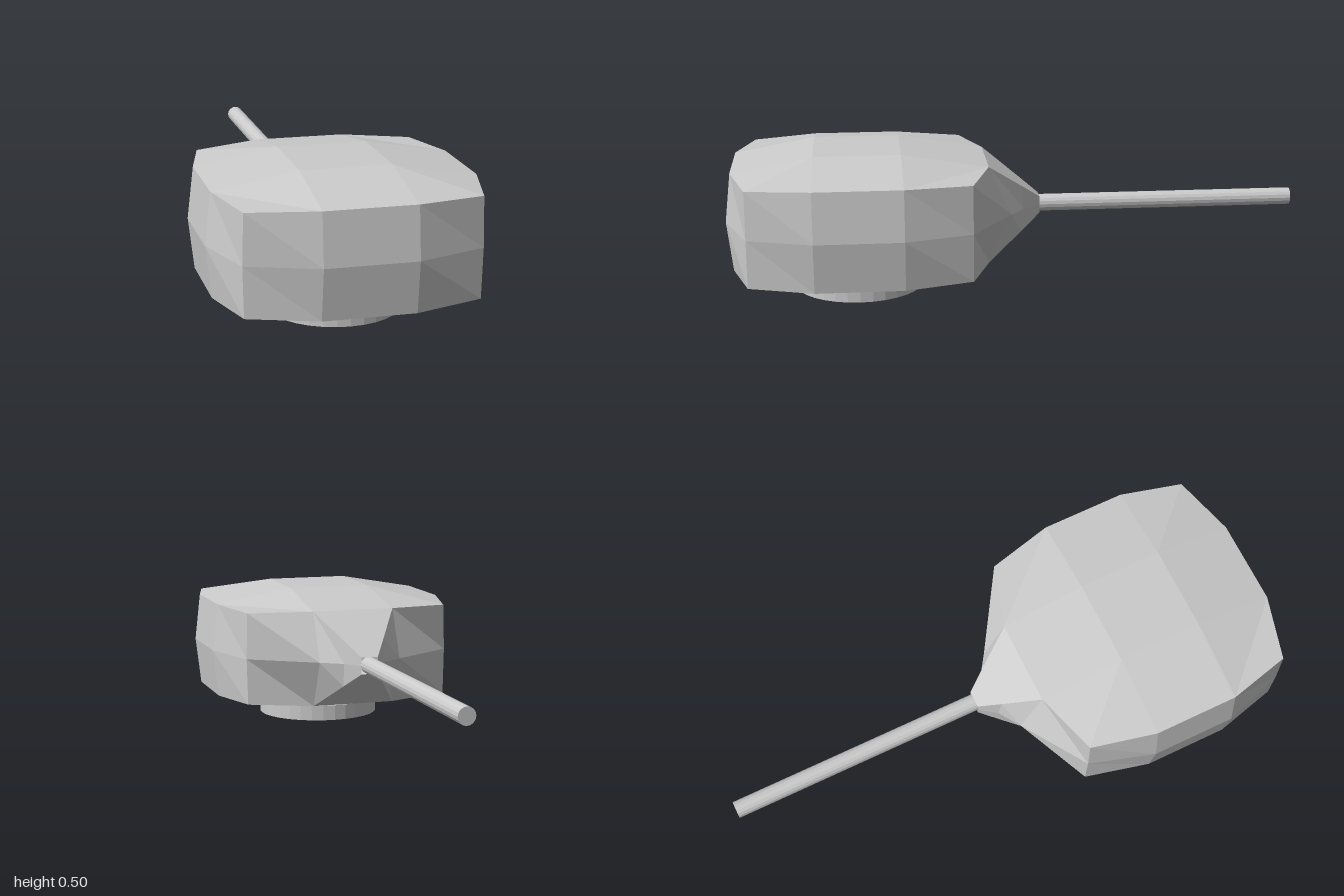
import * as THREE from 'three';

const MID = 0.278; // height of the body's symmetry plane

// Quads over a grid of points; the normal is (column direction) x (row direction)
function patch(rows, out) {
  for (let i = 0; i < rows.length - 1; i++) {
    for (let j = 0; j < rows[i].length - 1; j++) {
      const a = rows[i][j], b = rows[i][j + 1], c = rows[i + 1][j + 1], d = rows[i + 1][j];
      out.push(...a, ...b, ...c, ...a, ...c, ...d);
    }
  }
}

function faceted(positions) {
  const geo = new THREE.BufferGeometry();
  geo.setAttribute('position', new THREE.Float32BufferAttribute(positions, 3));
  geo.computeVertexNormals();
  return geo;
}

// Rounded block: domed top and bottom, bulging walls, open at the back for the neck
function bodyGeometry() {
  const out = [];
  const mirrored = (half) => [...half, ...half.map(([x, z]) => [-x, z]).reverse()];
  const rim = mirrored([[0.15, 0.1], [0.375, 0.17], [0.43, 0.4], [0.43, 0.7], [0.375, 0.92], [0.15, 0.98]]);
  const belt = mirrored([[0.15, 0.02], [0.379, 0.17], [0.45, 0.4], [0.45, 0.7], [0.379, 0.92], [0.15, 1.0]]);
  const rimHeight = ([x]) => (Math.abs(x) === 0.375 ? 0.166 : 0.172);
  patch(rim.map((p, i) => [
    [p[0], MID - rimHeight(p), p[1]],
    [belt[i][0], MID, belt[i][1]],
    [p[0], MID + rimHeight(p), p[1]],
  ]), out);

  // Caps: 4 x 4 points, columns along x, the inner four raised
  const cap = (s) => {
    const at = (i) => [rim[i][0], MID + s * rimHeight(rim[i]), rim[i][1]];
    const inner = (x, z) => [x, MID + s * 0.222, z];
    return [
      [at(10), at(9), at(8), at(7)],
      [at(11), inner(-0.15, 0.4), inner(-0.15, 0.7), at(6)],
      [at(0), inner(0.15, 0.4), inner(0.15, 0.7), at(5)],
      [at(1), at(2), at(3), at(4)],
    ];
  };
  patch(cap(1), out);
  const low = cap(-1);
  patch(low[0].map((_, j) => low.map((row) => row[j])), out);
  return faceted(out);
}

// Six-sided taper from the back opening down to the rod
function neckGeometry() {
  const out = [];
  const ring = (w, h, z, zSide, wSide = w) => [
    [-w, MID + h, z], [w, MID + h, z], [wSide, MID, zSide],
    [w, MID - h, z], [-w, MID - h, z], [-wSide, MID, zSide], [-w, MID + h, z],
  ];
  patch([
    ring(0.15, 0.172, 0.1, 0.02),
    ring(0.075, 0.083, -0.02, -0.03),
    ring(0.03, 0.03, -0.09, -0.09, 0.032),
  ], out);
  return faceted(out);
}

export function createModel() {
  const model = new THREE.Group();
  const flat = new THREE.MeshStandardMaterial({ color: 0xcccccc, flatShading: true, side: THREE.DoubleSide });
  const add = (name, geometry) => {
    const mesh = new THREE.Mesh(geometry, flat);
    mesh.name = name;
    model.add(mesh);
    return mesh;
  };

  add('body', bodyGeometry());
  add('neck', neckGeometry());

  // Long straight rod behind the neck
  const rod = add('rod', new THREE.CylinderGeometry(0.03, 0.03, 0.92, 16));
  rod.rotation.x = Math.PI / 2;
  rod.position.set(0, MID, -0.54);

  // Round foot under the body
  const foot = add('foot', new THREE.CylinderGeometry(0.225, 0.225, 0.056, 32));
  foot.position.set(0, 0.028, 0.55);

  return model;
}
